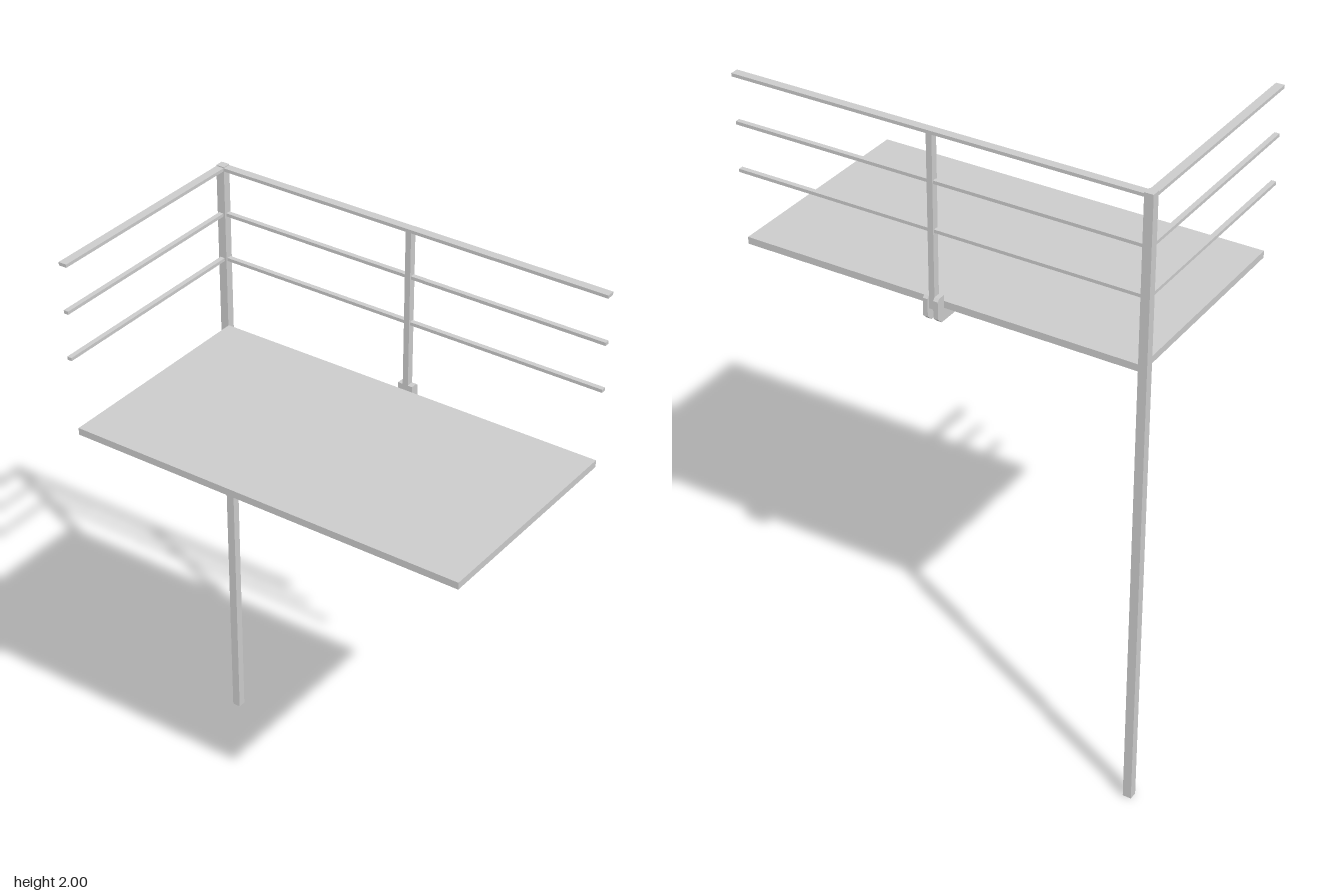
import * as THREE from 'three';

const material = new THREE.MeshStandardMaterial({ color: 0xcccccc, flatShading: true });

// Box given by its min and max corners
function box(name, [x0, y0, z0], [x1, y1, z1]) {
  const mesh = new THREE.Mesh(new THREE.BoxGeometry(x1 - x0, y1 - y0, z1 - z0), material);
  mesh.position.set((x0 + x1) / 2, (y0 + y1) / 2, (z0 + z1) / 2);
  mesh.name = name;
  return mesh;
}

function createDeck() {
  const deck = new THREE.Group();
  deck.name = 'deck';
  const x0 = -0.622, x1 = 0.65, z0 = -0.334, z1 = 0.364;
  const bottom = 1.455, top = 1.477, t = 0.004;
  // Thin sheet with turned-down edges
  deck.add(
    box('deckSheet', [x0, top - t, z0], [x1, top, z1]),
    box('backLip', [x0, bottom, z0], [x1, top - t, z0 + t]),
    box('frontLip', [x0, bottom, z1 - t], [x1, top - t, z1]),
    box('rightLip', [x0, bottom, z0 + t], [x0 + t, top - t, z1 - t]),
    box('leftLip', [x1 - t, bottom, z0 + t], [x1, top - t, z1 - t])
  );
  return deck;
}

function createRailing() {
  const railing = new THREE.Group();
  railing.name = 'railing';
  const cx = -0.637, cz = -0.346;
  // Wide flat top rail and two narrower rails below
  for (const [name, y, width, height] of [
    ['topRail', 1.992, 0.026, 0.01],
    ['middleRail', 1.845, 0.015, 0.01],
    ['lowerRail', 1.698, 0.015, 0.01],
  ]) {
    const w = width / 2, h = height / 2;
    railing.add(
      box(name + 'Back', [cx - w, y - h, cz - w], [0.65, y + h, cz + w]),
      box(name + 'Side', [cx - w, y - h, cz + w], [cx + w, y + h, 0.364])
    );
  }
  return railing;
}

function createBracket(centreX) {
  const bracket = new THREE.Group();
  bracket.name = 'bracket';
  // Cranked side profile, drawn as (z, y)
  const profile = new THREE.Shape([
    [-0.364, 1.487], [-0.364, 1.432], [-0.346, 1.415], [-0.09, 1.415],
    [-0.005, 1.455], [-0.334, 1.455], [-0.334, 1.495], [-0.356, 1.495],
  ].map(([z, y]) => new THREE.Vector2(z, y)));
  const thickness = 0.015;
  for (const side of [-1, 1]) {
    const geometry = new THREE.ExtrudeGeometry(profile, { depth: thickness, bevelEnabled: false });
    geometry.translate(0, 0, -thickness / 2);
    geometry.rotateY(-Math.PI / 2);
    // The turn maps shape x to +z
    const plate = new THREE.Mesh(geometry, material);
    plate.position.x = centreX + side * 0.0165;
    plate.name = side < 0 ? 'rightPlate' : 'leftPlate';
    bracket.add(plate);
  }
  return bracket;
}

export function createModel() {
  const model = new THREE.Group();
  model.name = 'platform';
  const midX = 0.015;
  model.add(
    box('cornerPost', [-0.65, 0, -0.359], [-0.623, 2, -0.333]),
    box('railingPost', [midX - 0.009, 1.455, -0.357], [midX + 0.009, 1.988, -0.335]),
    createDeck(),
    createRailing(),
    createBracket(midX)
  );
  return model;
}
